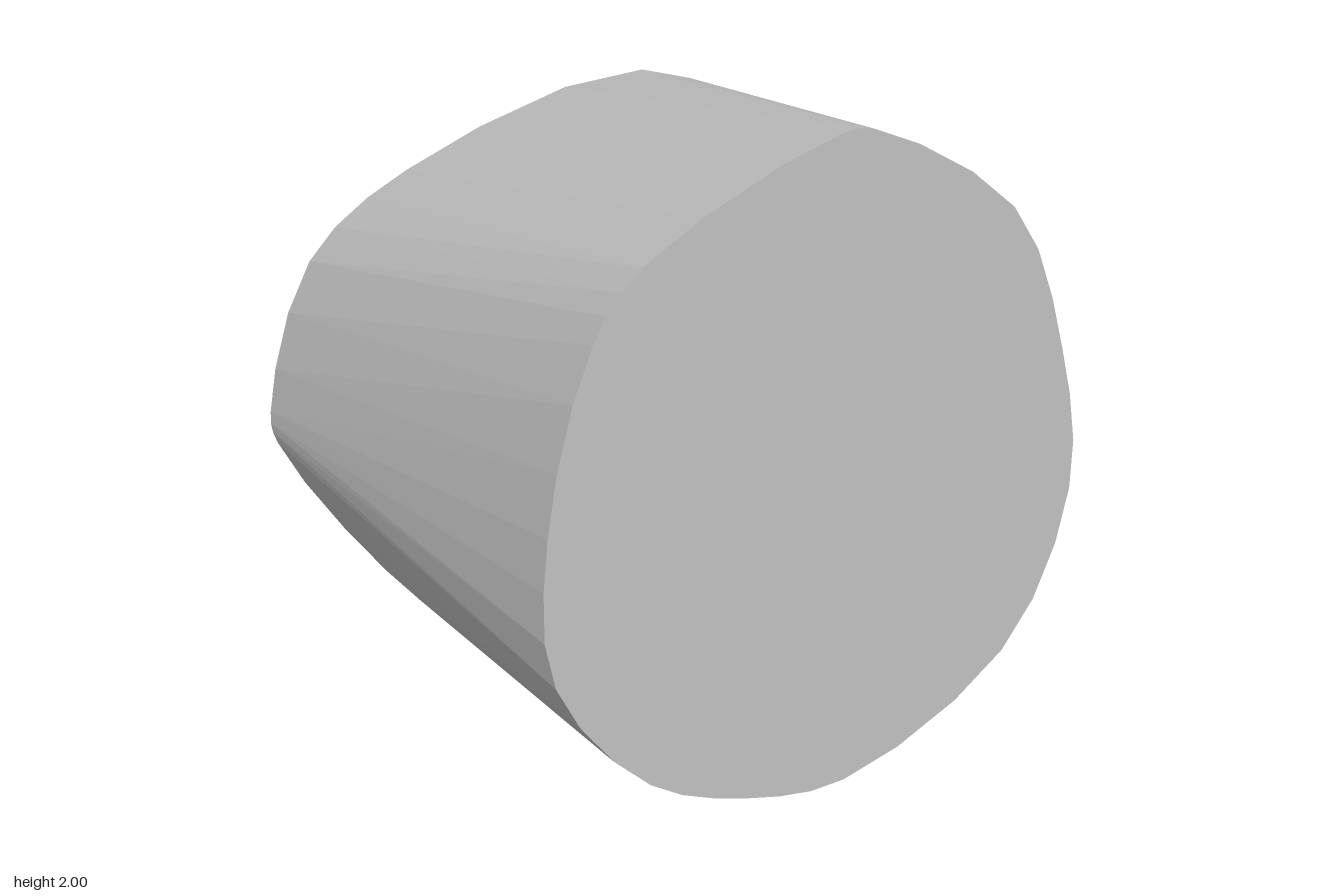
import * as THREE from 'three';
import { ConvexGeometry } from 'three/addons/geometries/ConvexGeometry.js';

const HALF_DEPTH = 0.64;

// Control points of the two cap outlines, clockwise from the top
const frontCap = [
  [0.2, 1.997], [0.27, 1.997], [0.58, 1.8], [0.72, 1.47], [0.775, 1.12], [0.65, 0.72], [0.28, 0.44],
  [0.05, 0.44], [-0.18, 0.53], [-0.39, 0.83], [-0.4, 1.2], [-0.3, 1.62], [-0.2, 1.77],
];
const backCap = [
  [0.2, 1.715], [0.535, 1.53], [0.76, 1.17], [0.785, 0.9], [0.74, 0.5], [0.52, 0.18], [0.2, 0.012],
  [-0.05, 0.015], [-0.25, 0.09], [-0.52, 0.38], [-0.78, 0.82], [-0.79, 0.91], [-0.66, 1.31], [-0.405, 1.52],
];

// Lines along the underside: front x, front y, back x, back y
const bellyLines = [
  [-0.1, 0.48, -0.15, 0.04], [0.15, 0.43, 0.15, 0.01], [0.28, 0.44, 0.26, 0.03],
  [0.5, 0.58, 0.52, 0.18], [0.65, 0.72, 0.65, 0.32], [0.75, 0.93, 0.76, 0.57],
];

// Smooth closed outline through the control points at depth z
function outline(controls, z) {
  const corners = controls.map(([x, y]) => new THREE.Vector3(x, y, z));
  return new THREE.CatmullRomCurve3(corners, true).getPoints(controls.length * 3);
}

// Points on a line from cap to cap that sags in between
function sagging([frontX, frontY, backX, backY]) {
  return [0.19, 0.38, 0.54, 0.68, 0.83].map((t) => new THREE.Vector3(
    THREE.MathUtils.lerp(frontX, backX, t),
    THREE.MathUtils.lerp(frontY, backY, t) - 0.09 * Math.sin(Math.PI * t ** 1.3),
    HALF_DEPTH * (1 - 2 * t),
  ));
}

export function createModel() {
  const group = new THREE.Group();
  const lightGrey = new THREE.MeshStandardMaterial({ color: 0xc0c0c0 });
  lightGrey.name = 'light grey';

  // Tapered block: faceted convex skin over both flat caps and the swollen underside
  const block = new THREE.Mesh(new ConvexGeometry([
    ...outline(frontCap, HALF_DEPTH),
    ...outline(backCap, -HALF_DEPTH),
    ...bellyLines.flatMap(sagging),
  ]), lightGrey);
  block.name = 'taperedBlock';
  group.add(block);
  return group;
}
